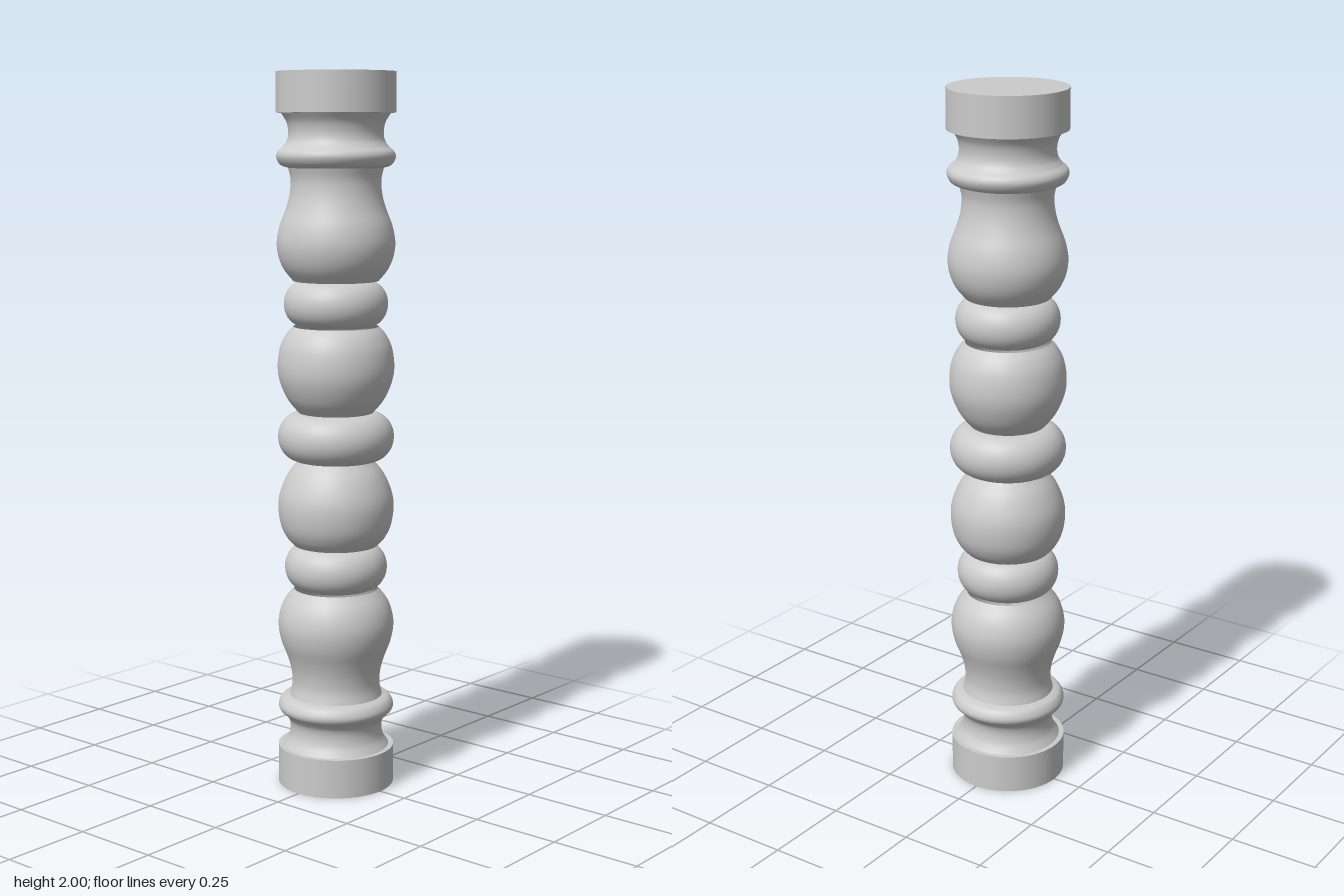
import * as THREE from 'three';

const SEGMENTS = 64;
const MID = 1; // the turning is symmetric about this height

export function createModel() {
  const group = new THREE.Group();
  const material = new THREE.MeshStandardMaterial({ color: 0xcccccc, side: THREE.DoubleSide });

  // Points are Vector2(radius, height above the middle), listed bottom to top
  const turn = (name, points) => {
    const mesh = new THREE.Mesh(new THREE.LatheGeometry(points, SEGMENTS), material);
    mesh.name = name;
    mesh.position.y = MID;
    group.add(mesh);
  };
  const flip = (points) => points.map((p) => new THREE.Vector2(p.x, -p.y)).reverse();
  const pair = (name, points) => {
    turn('upper' + name, points);
    turn('lower' + name, flip(points));
  };
  const line = (...pts) => pts.map(([r, y]) => new THREE.Vector2(r, y));
  const smooth = (...pts) => new THREE.SplineCurve(line(...pts)).getPoints(32);

  // Rounded ring with flat shoulders, from y0 to y1
  const bead = (y0, y1, core, radius) => {
    const pts = [];
    for (let i = 0; i <= 20; i++) {
      const a = -Math.PI / 2 + (Math.PI * i) / 20;
      pts.push(new THREE.Vector2(
        core + (radius - core) * Math.cos(a),
        (y0 + y1) / 2 + ((y1 - y0) / 2) * Math.sin(a)));
    }
    return pts;
  };

  // Middle ring, balls and small rings
  turn('middleRing', bead(-0.068, 0.068, 0.1, 0.162));
  pair('Ball', smooth([0.104, 0.068], [0.134, 0.105], [0.156, 0.155], [0.162, 0.2],
    [0.155, 0.25], [0.138, 0.286], [0.118, 0.308]));
  pair('SmallRing', bead(0.308, 0.434, 0.09, 0.144));

  // Vase-shaped swelling with a slender neck
  pair('Vase', smooth([0.118, 0.434], [0.143, 0.465], [0.158, 0.5], [0.163, 0.54],
    [0.155, 0.585], [0.138, 0.63], [0.127, 0.67], [0.124, 0.71], [0.131, 0.742]));

  // Slim collar and the cove above it
  pair('Collar', smooth([0.131, 0.742], [0.152, 0.75], [0.163, 0.769], [0.16, 0.785], [0.146, 0.798]));
  pair('Cove', smooth([0.146, 0.798], [0.134, 0.815], [0.13, 0.838], [0.135, 0.865], [0.15, 0.89]));

  // End blocks: shoulder and straight band
  pair('Shoulder', line([0.15, 0.89], [0.164, 0.89]));
  pair('Band', line([0.164, 0.89], [0.164, 1]));

  // Closed top; the foot stays open
  const top = new THREE.Mesh(new THREE.CircleGeometry(0.164, SEGMENTS), material);
  top.name = 'topDisc';
  top.rotation.x = -Math.PI / 2;
  top.position.y = 2;
  group.add(top);

  return group;
}
